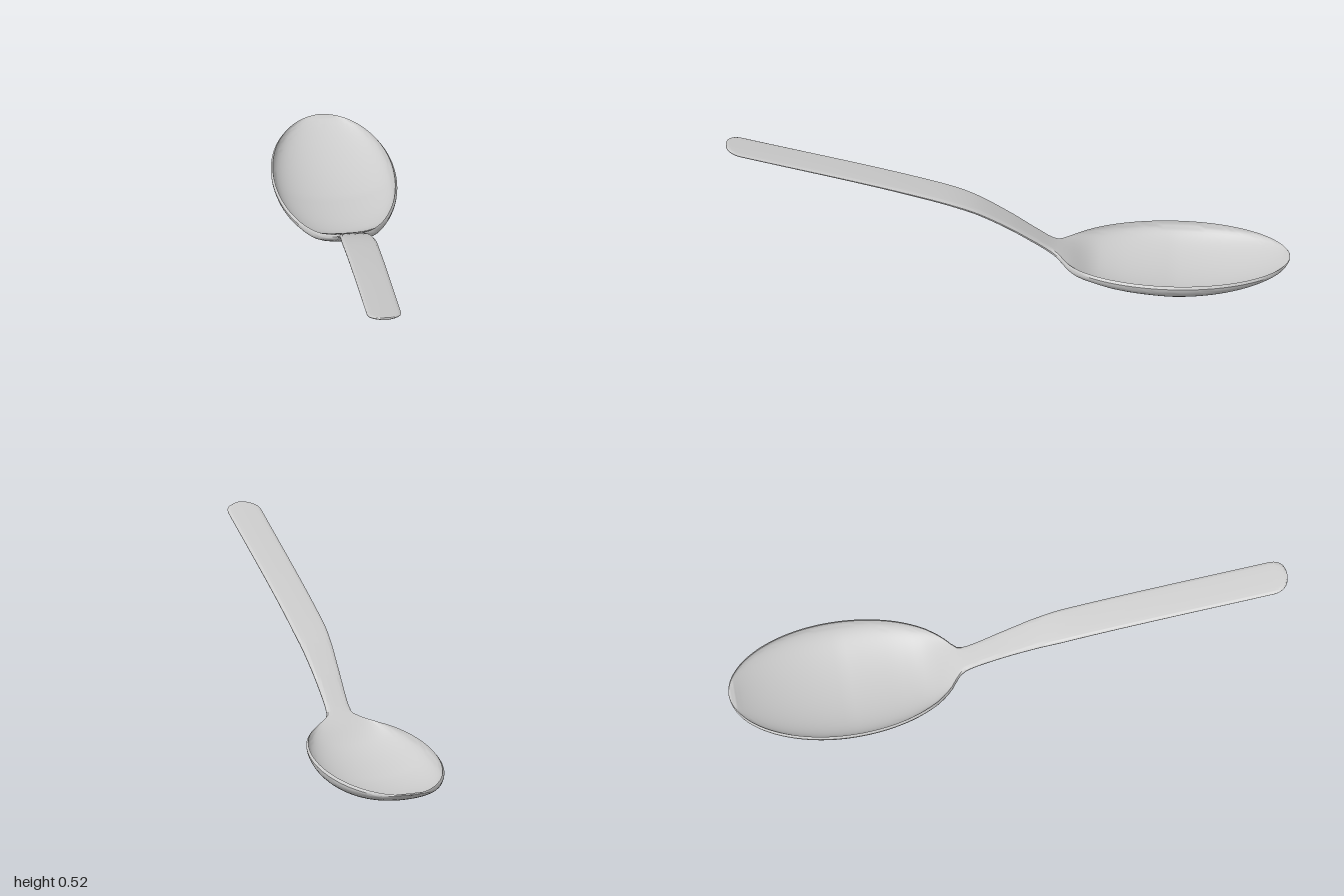
import * as THREE from 'three';
import { toCreasedNormals } from 'three/addons/utils/BufferGeometryUtils.js';

// Smooth interpolation through [z, value] pairs without overshoot
function profile(pts) {
  const slope = i => (pts[i + 1][1] - pts[i][1]) / (pts[i + 1][0] - pts[i][0]);
  const tangent = i => {
    if (i === 0) return slope(0);
    if (i === pts.length - 1) return slope(i - 1);
    const a = slope(i - 1), b = slope(i);
    return a * b <= 0 ? 0 : 2 * a * b / (a + b);
  };
  return z => {
    let i = 0;
    while (i < pts.length - 2 && z > pts[i + 1][0]) i++;
    const h = pts[i + 1][0] - pts[i][0];
    const t = THREE.MathUtils.clamp((z - pts[i][0]) / h, 0, 1), t2 = t * t, t3 = t2 * t;
    return (2 * t3 - 3 * t2 + 1) * pts[i][1] + (t3 - 2 * t2 + t) * h * tangent(i)
      + (3 * t2 - 2 * t3) * pts[i + 1][1] + (t3 - t2) * h * tangent(i + 1);
  };
}

// Height of the rim and of the handle's upper face
const topY = profile([[-1, 0.107], [-0.26, 0.107], [-0.22, 0.11], [-0.18, 0.124], [-0.1, 0.174],
  [0, 0.238], [0.13, 0.306], [0.25, 0.345], [1, 0.517]]);
// Depth below it, from the middle of the bowl to the handle end
const backDepth = profile([[-0.58, 0.105], [-0.4, 0.09], [-0.3, 0.071], [-0.25, 0.058], [-0.2, 0.034],
  [-0.15, 0.024], [0, 0.022], [0.13, 0.021], [0.3, 0.018], [1, 0.009]]);
// Half width of the neck and handle
const handleWidth = profile([[-0.25, 0.128], [-0.22, 0.103], [-0.2, 0.079], [-0.18, 0.056], [-0.16, 0.046],
  [-0.13, 0.043], [0, 0.049], [0.1, 0.056], [0.2, 0.061], [1, 0.061]]);
// 1 in the bowl, 0 in the handle
const bowlness = z => 1 - THREE.MathUtils.smoothstep(z, -0.32, -0.16);

function halfWidth(z) {
  if (z < -0.25) {
    const s = (z + 0.59) / (z < -0.59 ? 0.41 : 0.42);
    return Math.max(0.003, 0.22 * Math.sqrt(Math.max(0, 1 - s * s)));
  }
  const e = Math.max(0, (z - 0.94) / 0.06);
  return Math.max(0.003, handleWidth(z) * Math.pow(Math.max(0, 1 - Math.pow(e, 2.3)), 1 / 2.3));
}

function depth(z) {
  if (z > -0.58) return backDepth(z);
  const s = (z + 0.58) / 0.42;
  return Math.max(0.004, 0.105 * Math.pow(Math.max(0, 1 - s * s), 0.75));
}

// Closed cross-section: underside from +x to -x, then upper face back again
function section(z, n) {
  const w = halfWidth(z), d = depth(z), y = topY(z), b = bowlness(z);
  const lip = Math.min(0.009, d * 0.35), rim = Math.min(0.007, w * 0.25);
  const hollow = b * Math.max(0, d - 0.014) - (1 - b) * 0.0015;
  const power = 0.5 + 0.5 * b;
  const ring = [];
  for (let i = 0; i <= n; i++) {
    const a = Math.PI * i / n, s = Math.max(0, Math.sin(a));
    ring.push([w * Math.cos(a), y - lip - (d - lip) * Math.pow(s, power), z]);
  }
  for (let i = 0; i <= n; i++) {
    const a = Math.PI * (1 - i / n), s = Math.max(0, Math.sin(a));
    ring.push([(w - rim) * Math.cos(a), y - hollow * s, z]);
  }
  return ring;
}

function loft(rings) {
  const m = rings[0].length, last = (rings.length - 1) * m, index = [];
  for (let i = 0; i < rings.length - 1; i++) {
    for (let j = 0; j < m; j++) {
      const k = (j + 1) % m, a = i * m + j, b = i * m + k;
      index.push(a, a + m, b, b, a + m, b + m);
    }
  }
  // End caps
  for (let j = 1; j < m - 1; j++) index.push(0, j, j + 1, last, last + j + 1, last + j);
  const g = new THREE.BufferGeometry();
  g.setAttribute('position', new THREE.Float32BufferAttribute(rings.flat(2), 3));
  g.setIndex(index);
  return toCreasedNormals(g, 0.7);
}

export function createModel() {
  // Stations along the length, closer together at both rounded ends
  const stations = [];
  for (let i = 0; i < 48; i++) stations.push(-1 + 0.75 * (1 - Math.cos(Math.PI / 2 * i / 48)));
  for (let i = 0; i < 30; i++) stations.push(-0.25 + 0.55 * i / 30);
  for (let i = 0; i < 8; i++) stations.push(0.3 + 0.64 * i / 8);
  for (let i = 0; i <= 14; i++) stations.push(0.94 + 0.06 * Math.sin(Math.PI / 2 * i / 14));

  const spoon = new THREE.Mesh(
    loft(stations.map(z => section(z, 32))),
    new THREE.MeshStandardMaterial({ color: 0xcccccc })
  );
  spoon.name = 'spoonBowlAndHandle';
  const group = new THREE.Group();
  group.name = 'spoon';
  group.add(spoon);
  return group;
}
